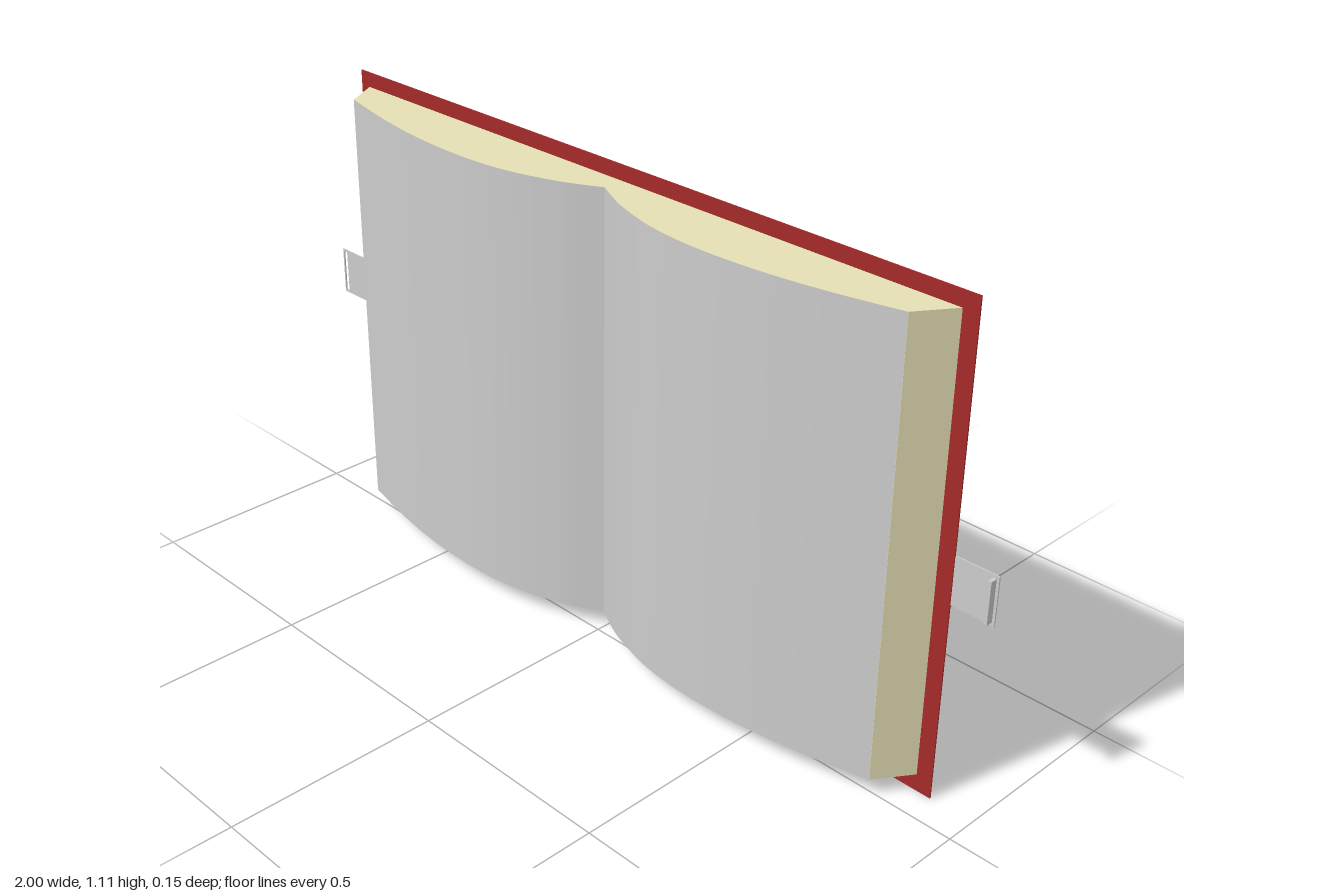
import * as THREE from 'three';

const paint = (color) => new THREE.MeshStandardMaterial({ color, side: THREE.DoubleSide });

export function createModel() {
  const book = new THREE.Group();
  book.name = 'openBook';
  const red = paint(0xa52a2a), cream = paint(0xe6dfb5), grey = paint(0xcccccc);

  const add = (name, geometry, material, x = 0, y = 0, z = 0) => {
    const mesh = new THREE.Mesh(geometry, material);
    mesh.name = name;
    mesh.position.set(x, y, z);
    book.add(mesh);
    return mesh;
  };

  // flat cover board
  add('cover', new THREE.BoxGeometry(1.775, 1.11, 0.003), red, 0.0095, 0.555, -0.0715);

  // bulge of one open half, from gutter to fore-edge (x, z)
  const half = [[0, -0.018], [0.05, 0.008], [0.1, 0.03], [0.2, 0.06], [0.3, 0.074], [0.4, 0.076],
    [0.5, 0.07], [0.6, 0.057], [0.7, 0.038], [0.805, 0.014]];
  const bottom = 0.04, height = 1.035, back = -0.07;

  for (const side of [1, -1]) {
    const label = side > 0 ? 'left' : 'right';
    const reach = side > 0 ? 1 : 0.994;
    const curve = new THREE.SplineCurve(half.map(([x, z]) => new THREE.Vector2(x * side * reach, z)));
    const points = curve.getPoints(32);

    // cream block of paper with a sloping fore-edge
    const shape = new THREE.Shape();
    shape.moveTo(0, -back);
    points.forEach((p) => shape.lineTo(p.x, -p.y + 0.001));
    shape.lineTo(side > 0 ? 0.86 : -0.85, -back);
    shape.closePath();
    const block = new THREE.ExtrudeGeometry(shape, { depth: height, bevelEnabled: false });
    block.rotateX(-Math.PI / 2);
    add(label + 'PageBlock', block, cream, 0, bottom, 0);

    // smooth open page lying on the block
    const page = new THREE.PlaneGeometry(1, height, 32, 1);
    const pos = page.attributes.position;
    for (let i = 0; i < pos.count; i++) {
      const column = Math.round((pos.getX(i) + 0.5) * 32);
      const p = points[side > 0 ? column : 32 - column];
      pos.setX(i, p.x);
      pos.setZ(i, p.y);
    }
    page.computeVertexNormals();
    add(label + 'Page', page, grey, 0, bottom + height / 2, 0);
  }

  // strap with a slot near its end
  const strap = new THREE.Shape();
  strap.moveTo(-1, 0.505);
  strap.lineTo(-0.879, 0.505);
  strap.lineTo(-0.879, 0.62);
  strap.lineTo(-1, 0.62);
  strap.closePath();
  const slot = new THREE.Path();
  slot.moveTo(-0.996, 0.51);
  slot.lineTo(-0.996, 0.615);
  slot.lineTo(-0.984, 0.615);
  slot.lineTo(-0.984, 0.51);
  slot.closePath();
  strap.holes.push(slot);
  add('slottedStrap', new THREE.ExtrudeGeometry(strap, { depth: 0.003, bevelEnabled: false }), grey, 0, 0, -0.073);

  // strap with a raised hook that fits the slot
  add('hookStrap', new THREE.BoxGeometry(0.104, 0.11, 0.003), grey, 0.946, 0.52, -0.0735);
  add('hook', new THREE.BoxGeometry(0.008, 0.096, 0.017), grey, 0.988, 0.52, -0.0645);

  return book;
}
